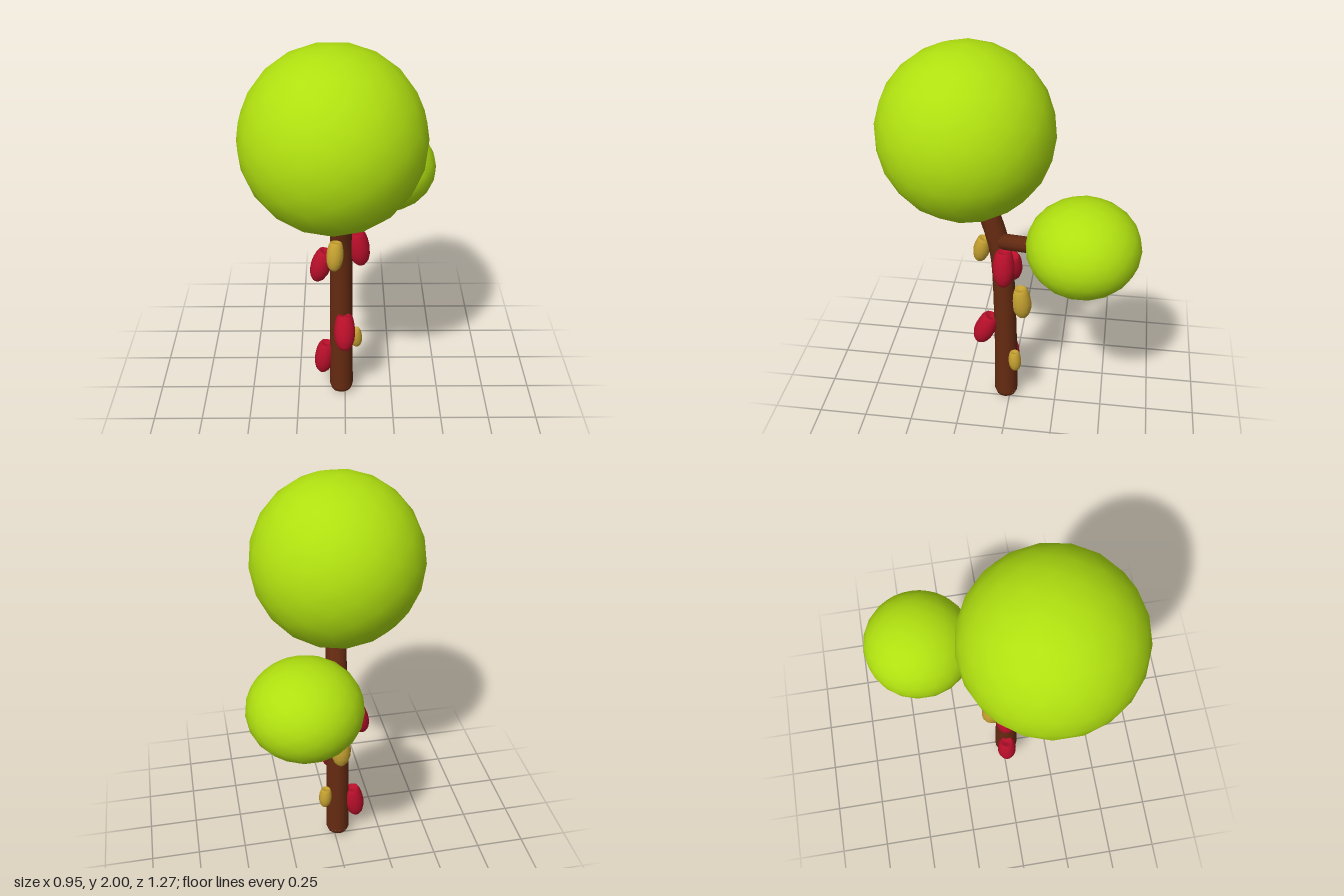
import * as THREE from 'three';
import { mergeVertices } from 'three/addons/utils/BufferGeometryUtils.js';

const mat = (name, color) => {
  const m = new THREE.MeshStandardMaterial({ color });
  m.name = name;
  return m;
};

const V = (x, y, z) => new THREE.Vector3(x, y, z);

// Tube along a path whose radius tapers from r0 to r1
function limb(points, r0, r1, segments, sides = 14) {
  const curve = new THREE.CatmullRomCurve3(points);
  const geo = new THREE.TubeGeometry(curve, segments, 1, sides);
  const pos = geo.attributes.position;
  const v = V(0, 0, 0);
  for (let i = 0; i < pos.count; i++) {
    const t = Math.floor(i / (sides + 1)) / segments;
    const centre = curve.getPointAt(t);
    v.fromBufferAttribute(pos, i).sub(centre);
    v.multiplyScalar(r0 + (r1 - r0) * t).add(centre);
    pos.setXYZ(i, v.x, v.y, v.z);
  }
  return geo;
}

// Unit pod: rounded below, narrowing to a shallow cup at the stem end
function podGeometry() {
  const profile = [
    [0, -0.5], [0.4, -0.46], [0.72, -0.35], [0.93, -0.17], [1, 0.02],
    [0.95, 0.22], [0.82, 0.39], [0.68, 0.48], [0.56, 0.5], [0.4, 0.46], [0, 0.43],
  ].map(([x, y]) => new THREE.Vector2(x, y));
  return new THREE.LatheGeometry(profile, 14);
}

export function createModel() {
  const group = new THREE.Group();
  group.name = 'podTree';

  const leaf = mat('leaf green', 0xb0e010);
  const bark = mat('bark brown', 0x662b11);
  const red = mat('pod red', 0xb80f2a);
  const yellow = mat('pod yellow', 0xc4a030);

  const add = (name, geo, material) => {
    const mesh = new THREE.Mesh(geo, material);
    mesh.name = name;
    group.add(mesh);
    return mesh;
  };

  // Trunk, leaning forward near the top, with a blunt rounded foot
  add('trunk', limb([
    V(-0.02, 0.05, 0.02), V(-0.02, 0.5, 0.024), V(-0.02, 0.92, 0.042),
    V(-0.022, 1.04, 0.066), V(-0.03, 1.22, 0.122), V(-0.035, 1.4, 0.18),
  ], 0.062, 0.05, 16), bark);
  const foot = add('trunkFoot',
    new THREE.SphereGeometry(0.062, 14, 3, 0, Math.PI * 2, Math.PI / 2, Math.PI / 2), bark);
  foot.scale.y = 0.8;
  foot.position.set(-0.02, 0.05, 0.02);

  // Side branch rising back to the small crown
  add('branch', limb([
    V(-0.02, 1.01, 0.05), V(0.07, 1.065, -0.045), V(0.2, 1.14, -0.2),
  ], 0.04, 0.038, 6, 12), bark);

  // Leaf crowns
  const ball = new THREE.IcosahedronGeometry(1, 3);
  ball.deleteAttribute('uv');
  const crownGeo = mergeVertices(ball);
  const bigCrown = add('mainCrown', crownGeo, leaf);
  bigCrown.scale.setScalar(0.422);
  bigCrown.position.set(-0.055, 1.578, 0.21);
  const smallCrown = add('sideCrown', crownGeo, leaf);
  smallCrown.scale.set(0.266, 0.227, 0.266);
  smallCrown.position.set(0.207, 1.162, -0.37);

  // Pods: centre, direction of the stem end, radius, length
  const podGeo = podGeometry();
  const pods = [
    ['upperRightPod', red, [-0.122, 0.79, 0], [0.3, 1, 0], 0.052, 0.185],
    ['upperLeftPod', red, [0.068, 0.905, 0.02], [-0.15, 1, 0], 0.055, 0.195],
    ['frontPod', red, [-0.003, 0.465, 0.13], [0, 1, -0.4], 0.055, 0.19],
    ['lowerRightPod', red, [-0.11, 0.215, 0.01], [0.14, 1, 0], 0.052, 0.195],
    ['upperFrontPod', yellow, [-0.05, 0.935, 0.147], [0.08, 1, -0.22], 0.042, 0.15],
    ['backPod', yellow, [-0.02, 0.637, -0.06], [0, 1, 0.1], 0.052, 0.182],
    ['lowerBackPod', yellow, [0.058, 0.308, -0.037], [-0.08, 1, 0.06], 0.034, 0.118],
  ];
  for (const [name, material, centre, up, radius, length] of pods) {
    const pod = add(name, podGeo, material);
    pod.position.set(...centre);
    pod.scale.set(radius, length, radius);
    pod.quaternion.setFromUnitVectors(V(0, 1, 0), V(...up).normalize());
  }

  return group;
}
